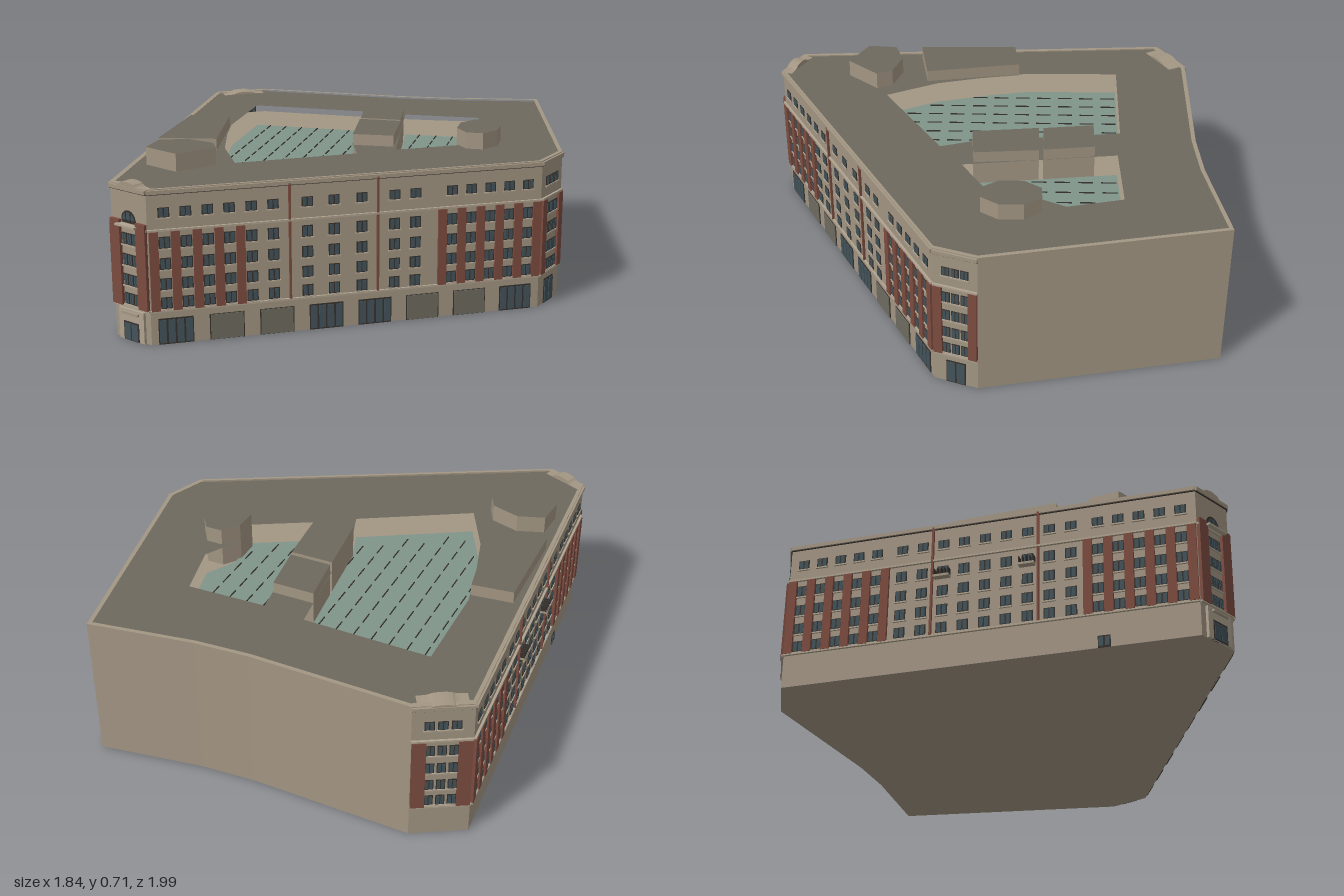
import * as THREE from 'three';

const mat = (name, color) => Object.assign(new THREE.MeshStandardMaterial({ color }), { name });

export function createModel() {
  const root = new THREE.Group();
  root.name = 'courtyardBlock';
  const wall = mat('beigeStone', 0xa39683), roof = mat('roofGrey', 0x6d695e), brick = mat('redBrick', 0x7c4c3f);
  const court = mat('skylightGlass', 0x80958a), glass = mat('windowGlass', 0x43545b), frame = mat('darkFrame', 0x37322e);
  const panel = mat('shutterGrey', 0x6f6b60), trim = mat('paleTrim', 0xb0a390);

  // Plan outline (x, z) of the building and its two light courts
  const A = [-0.91, -0.8], B = [-0.7, -0.92], F = [0.91, 0.02], G = [0.845, 0.2], H = [-0.61, 0.99], I = [-0.79, 0.91];
  const outline = [A, B, [0, -0.905], [0.24, -0.92], [0.69, -0.99], F, G, H, I];
  const courts = [
    [[-0.64, -0.59], [-0.08, -0.58], [0, 0.06], [0.05, 0.21], [-0.41, 0.48], [-0.53, 0.25], [-0.6, 0], [-0.635, -0.17]],
    [[0.11, -0.56], [0.46, -0.57], [0.52, -0.33], [0.45, -0.2], [0.45, -0.03], [0.2, 0.11]],
  ];
  const pts = (p) => p.map(([x, z]) => new THREE.Vector2(x, -z));

  // Upright prism from a plan polygon, with separate cap and side materials
  function prism(name, plan, y0, y1, cap, side, holes = []) {
    const shape = new THREE.Shape(pts(plan));
    shape.holes = holes.map((h) => new THREE.Path(pts(h)));
    const geo = new THREE.ExtrudeGeometry(shape, { depth: y1 - y0, bevelEnabled: false });
    geo.rotateX(-Math.PI / 2).translate(0, y0, 0);
    const mesh = new THREE.Mesh(geo, [cap, side]);
    mesh.name = name;
    root.add(mesh);
  }

  prism('lowerBody', outline, 0, 0.53, wall, wall);
  prism('roofStorey', outline, 0.53, 0.636, roof, wall, courts);
  prism('parapet', outline, 0.636, 0.648, wall, wall, [outline.map(([x, z]) => [x * 0.98, z * 0.98])]);

  // Court glazing with broken rows of glazing bars
  const barGeo = new THREE.BoxGeometry(0.004, 0.006, 0.065);
  courts.forEach((c) => {
    prism('courtSkylight', c, 0.53, 0.538, court, court);
    const xs = c.map((p) => p[0]);
    for (let x = Math.min(...xs) + 0.07; x < Math.max(...xs) - 0.02; x += 0.08) {
      const cuts = [];
      c.forEach(([x1, z1], i) => {
        const [x2, z2] = c[(i + 1) % c.length];
        if ((x1 < x) !== (x2 < x)) cuts.push(z1 + ((x - x1) / (x2 - x1)) * (z2 - z1));
      });
      cuts.sort((a, b) => a - b);
      for (let z = cuts[0] + 0.04; z < cuts[1] - 0.04; z += 0.1) {
        const bar = new THREE.Mesh(barGeo, frame);
        bar.name = 'glazingBar';
        bar.position.set(x, 0.539, z);
        root.add(bar);
      }
    }
  });

  // Rooftop plant rooms
  prism('cornerPlantRoom', [[-0.76, 0.59], [-0.6, 0.67], [-0.475, 0.53], [-0.51, 0.46], [-0.635, 0.42], [-0.75, 0.46]], 0.63, 0.712, roof, wall);
  prism('sidePlantRoom', [[-0.81, -0.11], [-0.63, -0.13], [-0.55, 0.3], [-0.8, 0.34]], 0.63, 0.688, roof, wall);
  prism('bridgeBack', [[-0.065, -0.46], [0.12, -0.46], [0.15, -0.24], [-0.035, -0.24]], 0.53, 0.685, roof, wall);
  prism('bridgeFront', [[-0.035, -0.22], [0.155, -0.22], [0.18, 0.06], [0, 0.07]], 0.53, 0.685, roof, wall);
  prism('octagonPlantRoom', Array.from({ length: 8 }, (_, i) => {
    const a = ((i + 0.5) * Math.PI) / 4;
    return [0.53 + 0.097 * Math.cos(a), -0.105 + 0.135 * Math.sin(a)];
  }), 0.53, 0.708, roof, wall);

  // Facade frame: local x runs left to right as seen outside, local z points outward
  const unit = new THREE.BoxGeometry(1, 1, 1);
  function facade(name, [x1, z1], [x2, z2]) {
    const g = new THREE.Group();
    g.name = name;
    g.position.set(x1, 0, z1);
    g.rotation.y = Math.atan2(z1 - z2, x2 - x1);
    root.add(g);
    const L = Math.hypot(x2 - x1, z2 - z1);
    const box = (n, m, x, y, w, h, d) => {
      const b = new THREE.Mesh(unit, m);
      b.name = n;
      b.position.set(x, y, d / 2 - 0.002);
      b.scale.set(w, h, d + 0.004);
      g.add(b);
    };
    const window = (x, y, w = 0.046, h = 0.048) => {
      box('windowFrame', frame, x, y, w, h, 0.003);
      for (const s of [-1, 1]) box('windowPane', glass, x + s * w * 0.23, y, w * 0.34, h * 0.84, 0.005);
      box('windowSill', trim, x, y - h / 2 - 0.003, w + 0.008, 0.006, 0.007);
    };
    const rows = [0.175, 0.255, 0.34, 0.428];
    const column = (x, w) => rows.forEach((y) => window(x, y, w));
    const top = (x, w) => window(x, 0.552, w, 0.04);
    // Brick piers between window bays
    const brickBays = (s0, s1, n, pierW = 0.036) => {
      const step = (s1 - s0) / n;
      for (let i = 0; i <= n; i++) box('brickPier', brick, s0 + i * step, 0.31, pierW, 0.33, 0.012);
      for (let i = 0; i < n; i++) {
        column(s0 + (i + 0.5) * step);
        top(s0 + (i + 0.5) * step);
      }
    };
    // Ground floor opening, glazed or shuttered
    const shop = (x, w, glazed, h = 0.11) => {
      box('shopFrame', frame, x, h / 2, w, h, 0.003);
      if (!glazed) return box('shopShutter', panel, x, h / 2, w - 0.008, h - 0.004, 0.006);
      const n = Math.max(2, Math.round(w / 0.036));
      for (let i = 0; i < n; i++) box('shopPane', glass, x + ((i + 0.5) / n - 0.5) * w, h / 2, w / n - 0.008, h - 0.012, 0.006);
    };
    const pipe = (x) => box('downpipe', brick, x, 0.39, 0.009, 0.49, 0.01);
    // Shallow curved gable over a corner
    const gable = (w, h, depth) => {
      const s = new THREE.Shape([new THREE.Vector2(-w / 2, 0), new THREE.Vector2(w / 2, 0)]);
      s.quadraticCurveTo(w * 0.25, 0, w * 0.2, h * 0.7);
      s.quadraticCurveTo(0, h * 1.3, -w * 0.2, h * 0.7);
      s.quadraticCurveTo(-w * 0.25, 0, -w / 2, 0);
      const m = new THREE.Mesh(new THREE.ExtrudeGeometry(s, { depth, bevelEnabled: false, curveSegments: 8 }), wall);
      m.name = 'curvedGable';
      m.position.set(L / 2, 0.642, 0.006 - depth);
      g.add(m);
    };
    box('baseCourse', trim, L / 2, 0.143, L, 0.008, 0.01);
    box('upperCourse', trim, L / 2, 0.48, L, 0.008, 0.01);
    box('cornice', wall, L / 2, 0.636, L, 0.016, 0.009);
    box('corniceShadowLine', frame, L / 2, 0.626, L, 0.003, 0.005);
    return { g, L, box, window, column, top, brickBays, shop, pipe, gable };
  }

  // Long front facade
  const front = facade('frontFacade', H, G);
  const u = front.L / 1.455;
  front.brickBays(0.02 * u, 0.325 * u, 4);
  front.brickBays(1.07 * u, 1.438 * u, 5);
  for (const x of [-0.245, -0.167, -0.044, 0.054, 0.157, 0.279, 0.358]) {
    front.column((x + 0.61) * u);
    front.top((x + 0.61) * u);
  }
  for (const x of [-0.108, 0.216]) front.pipe((x + 0.61) * u);
  [1, 0, 0, 1, 1, 0, 0, 1].forEach((glazed, i) => front.shop((0.088 + i * 0.182) * u, 0.142, glazed));

  // Long left-hand street facade, with a plain base
  const side = facade('sideFacade', A, I);
  side.brickBays(0.02, 0.43, 5);
  side.brickBays(1.28, side.L - 0.02, 5);
  for (let i = 0; i < 9; i++) {
    side.column(0.5 + i * 0.089);
    side.top(0.5 + i * 0.089);
  }
  for (const s of [0.633, 1.078]) side.pipe(s);
  for (const s of [0.678, 1.034]) {
    side.box('balconySlab', wall, s, 0.4, 0.066, 0.01, 0.028);
    for (let i = -2; i <= 2; i++) side.box('balconyRail', frame, s + i * 0.015, 0.418, 0.004, 0.03, 0.027);
  }
  side.shop(1.34, 0.05, true, 0.05);

  // Right-hand corner
  const right = facade('rightCorner', G, F);
  for (const s of [0.02, right.L - 0.02]) right.box('brickPier', brick, s, 0.31, 0.038, 0.33, 0.012);
  for (let i = -1; i <= 1; i++) {
    right.column(right.L / 2 + i * 0.04, 0.034);
    right.top(right.L / 2 + i * 0.04, 0.034);
  }
  right.shop(right.L / 2, 0.085, true);

  // Back corner
  const back = facade('backCorner', B, A);
  for (const s of [0.03, back.L - 0.03]) back.box('brickPier', brick, s, 0.31, 0.056, 0.33, 0.012);
  for (let i = -1; i <= 1; i++) {
    back.column(back.L / 2 + i * 0.046, 0.036);
    back.top(back.L / 2 + i * 0.052, 0.04);
  }
  back.gable(0.2, 0.012, 0.08);

  // Entrance corner with doorway, arched window and curved gable
  const entry = facade('entranceCorner', I, H);
  const c = entry.L / 2;
  for (const s of [0.028, entry.L - 0.028]) entry.box('brickPier', brick, s, 0.325, 0.052, 0.36, 0.014);
  for (let i = -1; i <= 1; i++) entry.column(c + i * 0.028, 0.025);
  entry.box('doorSurround', trim, c, 0.066, 0.14, 0.132, 0.012);
  entry.box('doorFrame', frame, c, 0.04, 0.084, 0.08, 0.014);
  for (const s of [-0.02, 0.02]) entry.box('doorLeaf', glass, c + s, 0.038, 0.034, 0.07, 0.016);
  entry.box('doorHood', wall, c, 0.118, 0.09, 0.01, 0.022);
  entry.box('archSill', trim, c, 0.488, 0.11, 0.008, 0.03);
  for (const [r, m, z, n] of [[0.04, frame, 0.003, 'archFrame'], [0.032, glass, 0.005, 'archGlass']]) {
    const arch = new THREE.Mesh(new THREE.CircleGeometry(r, 20, 0, Math.PI), m);
    arch.name = n;
    arch.position.set(c, 0.508, z);
    entry.g.add(arch);
  }
  for (const s of [-0.012, 0.012]) entry.box('archMullion', frame, c + s, 0.518, 0.004, 0.04, 0.007);
  entry.box('archBase', frame, c, 0.502, 0.08, 0.014, 0.003);
  entry.gable(0.19, 0.022, 0.05);
  return root;
}
